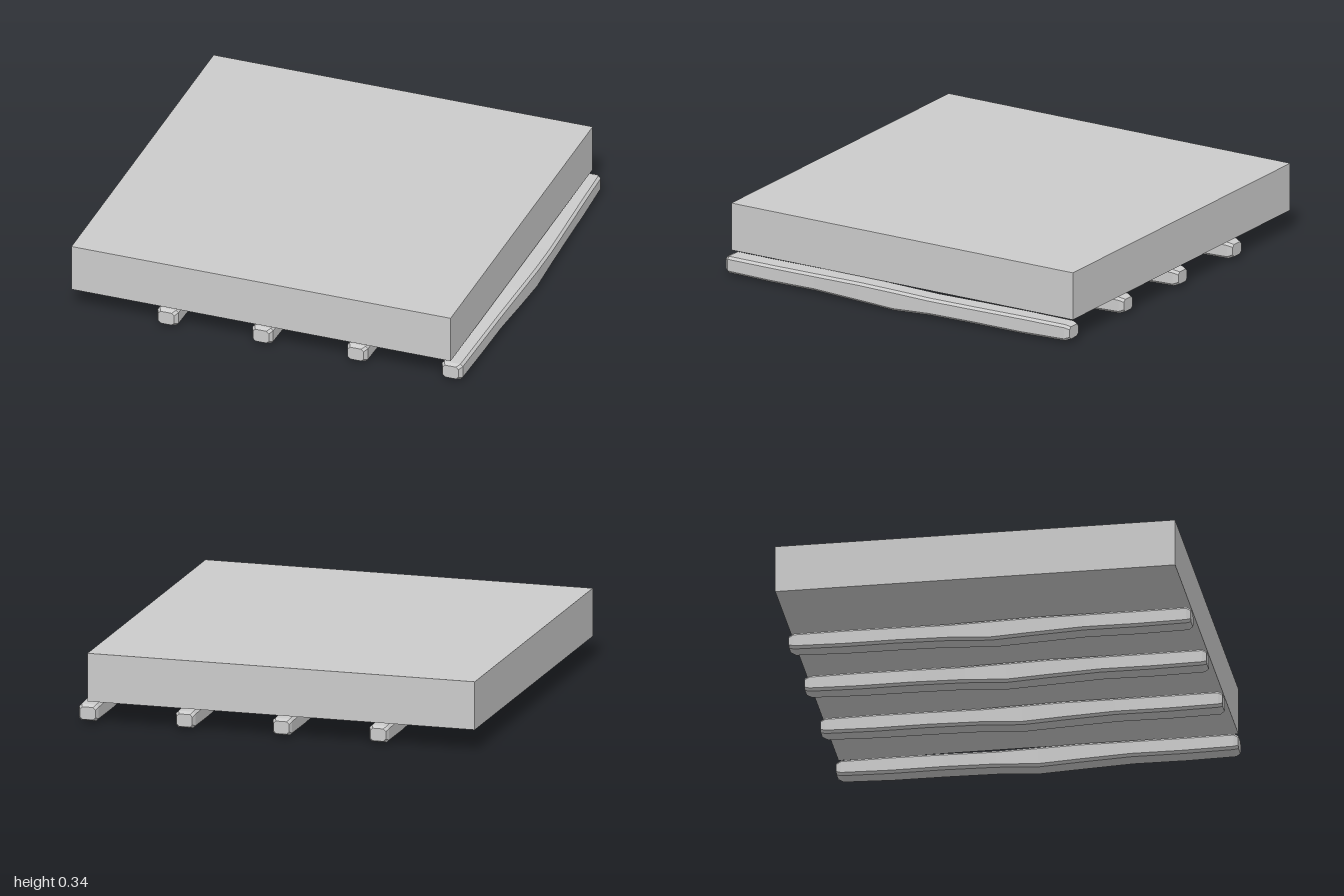
import * as THREE from 'three';

const material = new THREE.MeshStandardMaterial({ color: 0xcccccc, flatShading: true, side: THREE.DoubleSide });

// Sections along a rough-hewn beam: z, left x, right x, bottom y, top y
const sections = [
  [0.965, -0.045, 0.035, 0.02, 0.085],
  [0.945, -0.055, 0.05, 0.012, 0.094],
  [0.7, -0.052, 0.054, 0.01, 0.095],
  [0.45, -0.045, 0.06, 0.015, 0.099],
  [0.2, -0.035, 0.07, 0.009, 0.105],
  [0, -0.028, 0.074, 0.002, 0.104],
  [-0.2, -0.032, 0.07, 0.013, 0.098],
  [-0.45, -0.045, 0.06, 0.012, 0.096],
  [-0.7, -0.052, 0.05, 0.008, 0.095],
  [-0.94, -0.055, 0.041, 0.012, 0.092],
  [-0.965, -0.047, 0.03, 0.022, 0.083],
];

// Loft an eight-sided, bevelled cross-section through the sections
function beamGeometry() {
  const positions = [], index = [], n = 8, c = 0.012;
  for (const [z, l, r, b, t] of sections) {
    const ring = [[l + c, b], [r - c, b], [r, b + c], [r, t - c], [r - c, t], [l + c, t], [l, t - c], [l, b + c]];
    for (const [x, y] of ring) positions.push(x, y, z);
  }
  const last = (sections.length - 1) * n;
  for (let s = 0; s < last; s += n) {
    for (let i = 0; i < n; i++) {
      const a = s + i, b = s + (i + 1) % n;
      index.push(a, a + n, b, b, a + n, b + n);
    }
  }
  // End caps
  for (let i = 1; i < n - 1; i++) {
    index.push(0, i, i + 1);
    index.push(last, last + i + 1, last + i);
  }
  const geometry = new THREE.BufferGeometry();
  geometry.setAttribute('position', new THREE.Float32BufferAttribute(positions, 3));
  geometry.setIndex(index);
  const flat = geometry.toNonIndexed();
  flat.computeVertexNormals();
  return flat;
}

export function createModel() {
  const model = new THREE.Group();
  model.name = 'slabOnBeams';

  // Thick square slab
  const slab = new THREE.Mesh(new THREE.BoxGeometry(1.92, 0.235, 1.92), material);
  slab.name = 'slab';
  slab.position.set(-0.04, 0.2275, 0);
  model.add(slab);

  // Four evenly spaced beams under the slab
  const geometry = beamGeometry();
  for (let i = 0; i < 4; i++) {
    const beam = new THREE.Mesh(geometry, material);
    beam.name = `beam${i + 1}`;
    beam.position.x = -0.514 + i * 0.48;
    model.add(beam);
  }
  return model;
}
